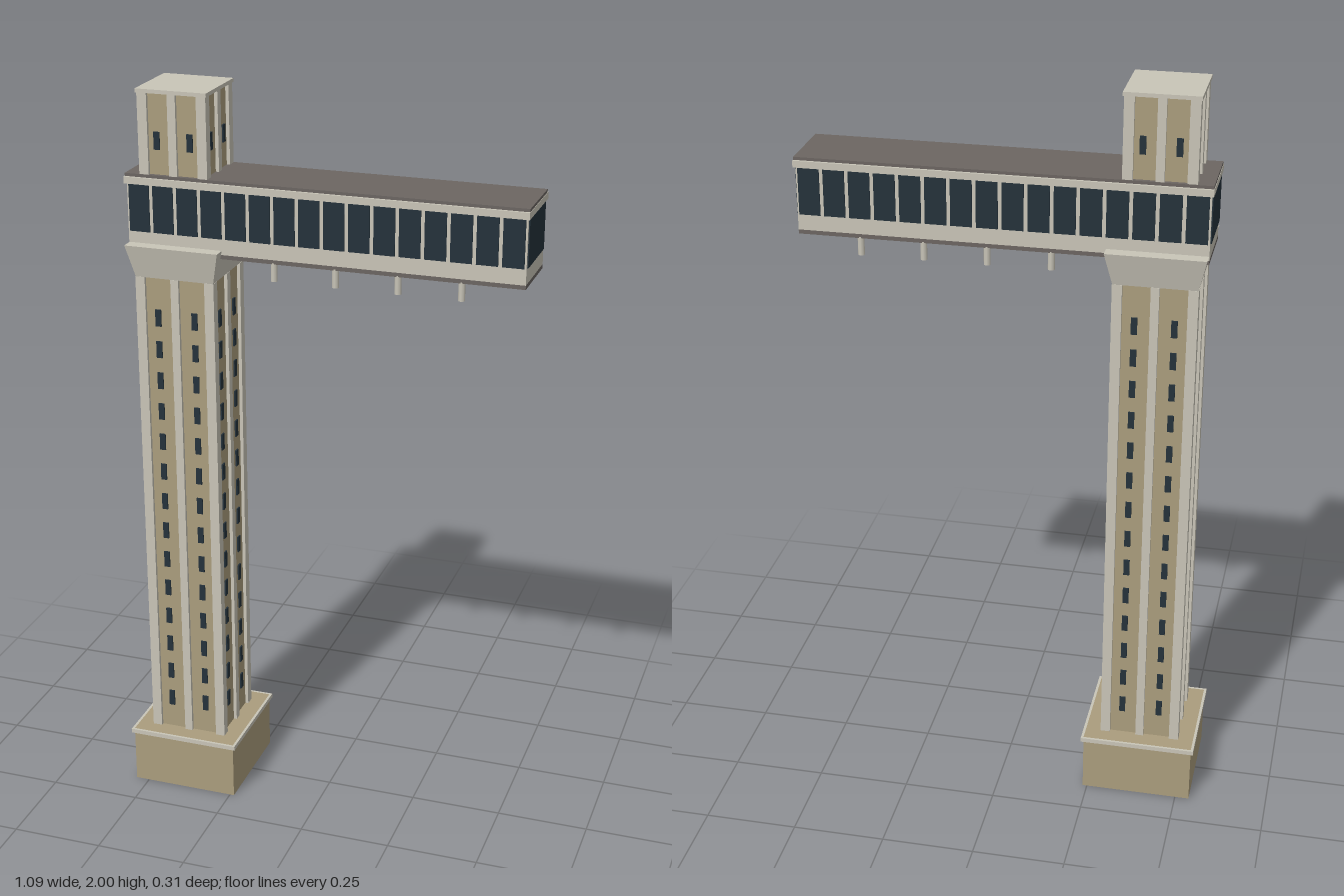
import * as THREE from 'three';

const flat = (name, color, side = THREE.FrontSide) => {
  const m = new THREE.MeshStandardMaterial({ color, side });
  m.name = name;
  return m;
};

export function createModel() {
  const concrete = flat('pale concrete', 0xc9c5b8);
  const stone = flat('tan stone', 0xab9d7d);
  const stoneShell = flat('tan stone shell', 0xab9d7d, THREE.DoubleSide);
  const glass = flat('dark glass', 0x25323b);
  const roofing = flat('grey roofing', 0x6c6662);

  const model = new THREE.Group();
  model.name = 'cliffLiftTower';

  const add = (parent, name, geometry, material, x = 0, y = 0, z = 0) => {
    const mesh = new THREE.Mesh(geometry, material);
    mesh.name = name;
    mesh.position.set(x, y, z);
    parent.add(mesh);
    return mesh;
  };
  // Box given by its width, depth, and bottom and top heights
  const block = (parent, name, material, w, d, y0, y1, x = 0, z = 0) =>
    add(parent, name, new THREE.BoxGeometry(w, y1 - y0, d), material, x, (y0 + y1) / 2, z);
  const group = (parent, name) => {
    const g = new THREE.Group();
    g.name = name;
    parent.add(g);
    return g;
  };

  const tower = group(model, 'tower');
  tower.position.x = -0.388;

  // Plinth, hollow and open underneath
  const shell = new THREE.BoxGeometry(0.3, 0.165, 0.3);
  const faces = Array.from(shell.index.array);
  faces.splice(18, 6);
  shell.clearGroups();
  shell.setIndex(faces);
  add(tower, 'plinth', shell, stoneShell, 0, 0.0825, 0);
  for (const s of [-1, 1]) {
    block(tower, 'plinthLip', concrete, 0.314, 0.007, 0.153, 0.165, 0, s * 0.1535);
    block(tower, 'plinthLip', concrete, 0.007, 0.3, 0.153, 0.165, s * 0.1535, 0);
  }

  // Recessed stone core with corner piers, middle ribs and slit windows on all sides
  const ribbedShaft = (name, half, y0, y1, slitX, slitYs) => {
    const shaft = group(tower, name);
    const recess = 0.009, pier = 0.026;
    const core = half - recess;
    block(shaft, 'core', stone, core * 2, core * 2, y0, y1);
    for (let i = 0; i < 4; i++) {
      const side = group(shaft, 'shaftSide');
      side.rotation.y = i * Math.PI / 2;
      block(side, 'cornerPier', concrete, pier, pier, y0, y1, half - pier / 2, half - pier / 2);
      block(side, 'middleRib', concrete, 0.022, recess, y0, y1, 0, core + recess / 2);
      for (const y of slitYs)
        for (const s of [-1, 1])
          block(side, 'slitWindow', glass, 0.016, 0.004, y - 0.023, y + 0.023, s * slitX, core + 0.002);
    }
  };
  const slits = Array.from({ length: 14 }, (_, i) => 0.258 + i * 0.0878);
  ribbedShaft('mainShaft', 0.109, 0.165, 1.51, 0.051, slits);
  ribbedShaft('upperShaft', 0.093, 1.775, 1.992, 0.045, [1.868]);
  block(tower, 'topCap', concrete, 0.192, 0.192, 1.99, 2.0);

  // Flared collar beneath the gallery
  const flare = new THREE.BoxGeometry(1, 0.087, 1);
  const p = flare.attributes.position;
  for (let i = 0; i < p.count; i++) {
    const w = p.getY(i) > 0 ? 0.256 : 0.216;
    p.setX(i, p.getX(i) * w);
    p.setZ(i, p.getZ(i) * w);
  }
  flare.computeVertexNormals();
  add(tower, 'collar', flare, concrete, 0, 1.5535, 0);

  // Long glazed gallery
  const gallery = group(model, 'gallery');
  const x0 = -0.517, x1 = 0.535, mid = (x0 + x1) / 2, length = x1 - x0;
  block(gallery, 'floor', roofing, length, 0.186, 1.575, 1.586, mid);
  block(gallery, 'body', concrete, length, 0.186, 1.586, 1.756, mid);
  block(gallery, 'cornice', concrete, length + 0.01, 0.204, 1.754, 1.772, mid);
  block(gallery, 'roof', roofing, length + 0.008, 0.19, 1.772, 1.78, mid);

  const bays = 16, pitch = length / bays;
  for (const s of [-1, 1]) {
    for (let i = 0; i < bays; i++)
      block(gallery, 'sideWindow', glass, pitch - 0.01, 0.004, 1.628, 1.752, x0 + (i + 0.5) * pitch, s * 0.094);
    block(gallery, 'endWindow', glass, 0.004, 0.172, 1.628, 1.752, mid + s * (length / 2 + 0.001), 0);
    // Short posts hanging below the floor
    for (let i = 0; i < 4; i++)
      add(gallery, 'hangingPost', new THREE.CylinderGeometry(0.009, 0.009, 0.05, 8), concrete,
        -0.121 + i * 0.1645, 1.553, s * 0.085);
  }

  return model;
}
